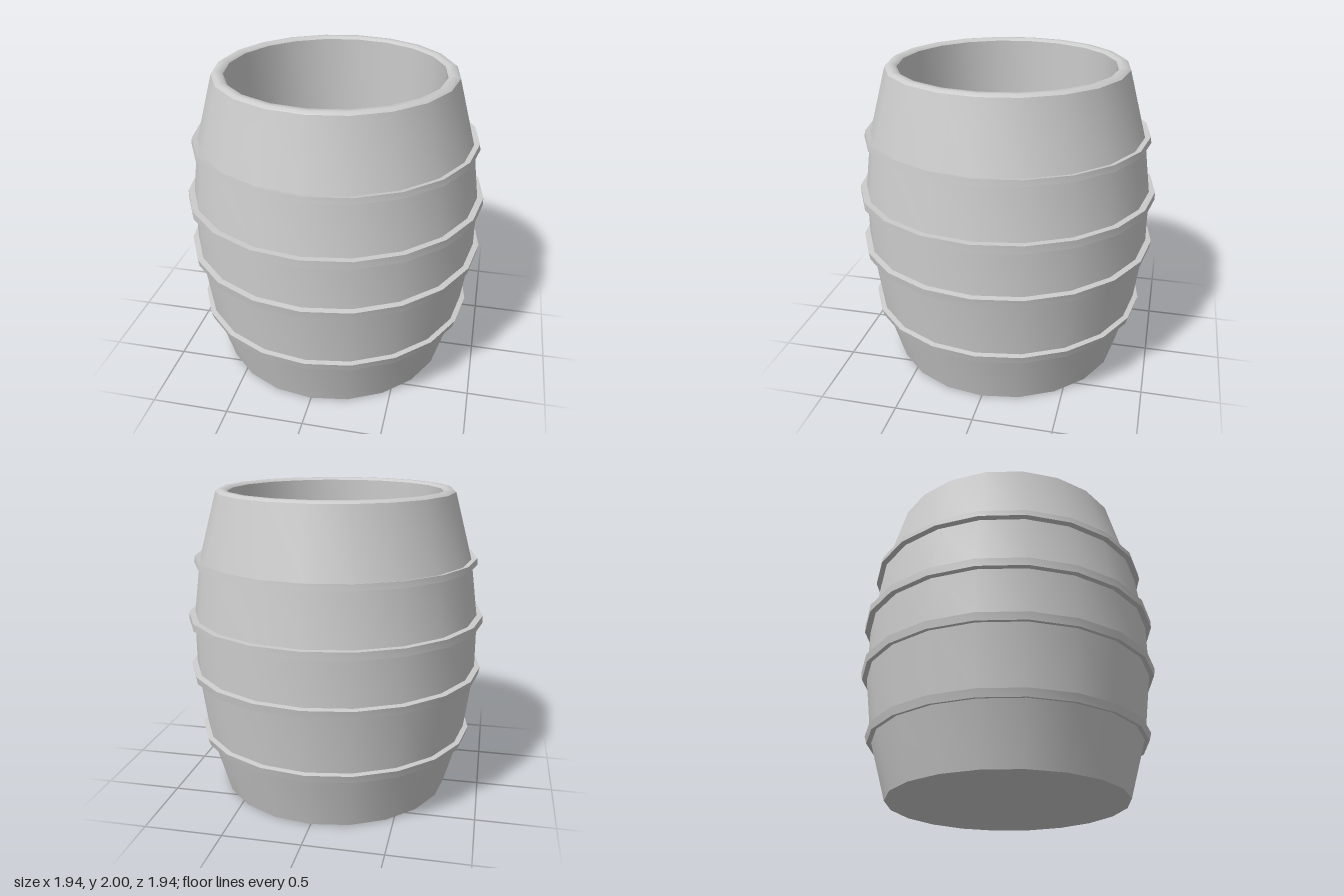
import * as THREE from 'three';
import { toCreasedNormals } from 'three/addons/utils/BufferGeometryUtils.js';

const SIDES = 20;

export function createModel() {
  const barrel = new THREE.Group();
  barrel.name = 'barrel';
  const material = new THREE.MeshStandardMaterial({ color: 0xcccccc });

  // Revolve a [radius, height] profile, smooth around but sharp at its corners
  const addLathe = (name, profile) => {
    const points = profile.map(([r, y]) => new THREE.Vector2(r, y));
    const geometry = toCreasedNormals(new THREE.LatheGeometry(points, SIDES), 0.8);
    const mesh = new THREE.Mesh(geometry, material);
    mesh.name = name;
    barrel.add(mesh);
  };

  // Outer wall: bands that meet at a crease under each hoop
  const wall = [
    [0.767, 0.004], [0.88, 0.4], [0.935, 0.82],
    [0.935, 1.18], [0.885, 1.55], [0.767, 1.985],
  ];
  for (let i = 0; i < wall.length - 1; i++) {
    addLathe(`staveBand${i + 1}`, [wall[i], wall[i + 1]]);
  }

  // Underside with a softly rounded edge
  addLathe('underside', [[0, 0], [0.7, 0], [0.767, 0.004]]);
  // Rounded top rim
  addLathe('rim', [[0.767, 1.985], [0.747, 2], [0.712, 2], [0.692, 1.985]]);
  // Straight inner wall and floor
  addLathe('interior', [[0.692, 1.985], [0.692, 0.07], [0, 0.07]]);

  // Hoops: bottom, top, outer radius at bottom and at top, rise of the inner edge
  const hoops = [
    ['lowerHoop', 0.365, 0.413, 0.902, 0.915, 0.014],
    ['lowerMiddleHoop', 0.8, 0.848, 0.964, 0.972, 0.01],
    ['upperMiddleHoop', 1.15, 1.2, 0.972, 0.972, 0],
    ['upperHoop', 1.533, 1.572, 0.922, 0.917, -0.014],
  ];
  for (const [name, y0, y1, r0, r1, rise] of hoops) {
    const inner = r0 - 0.07;
    addLathe(name, [[inner, y0 + rise], [r0, y0], [r1, y1], [inner, y1 + rise]]);
  }
  return barrel;
}
